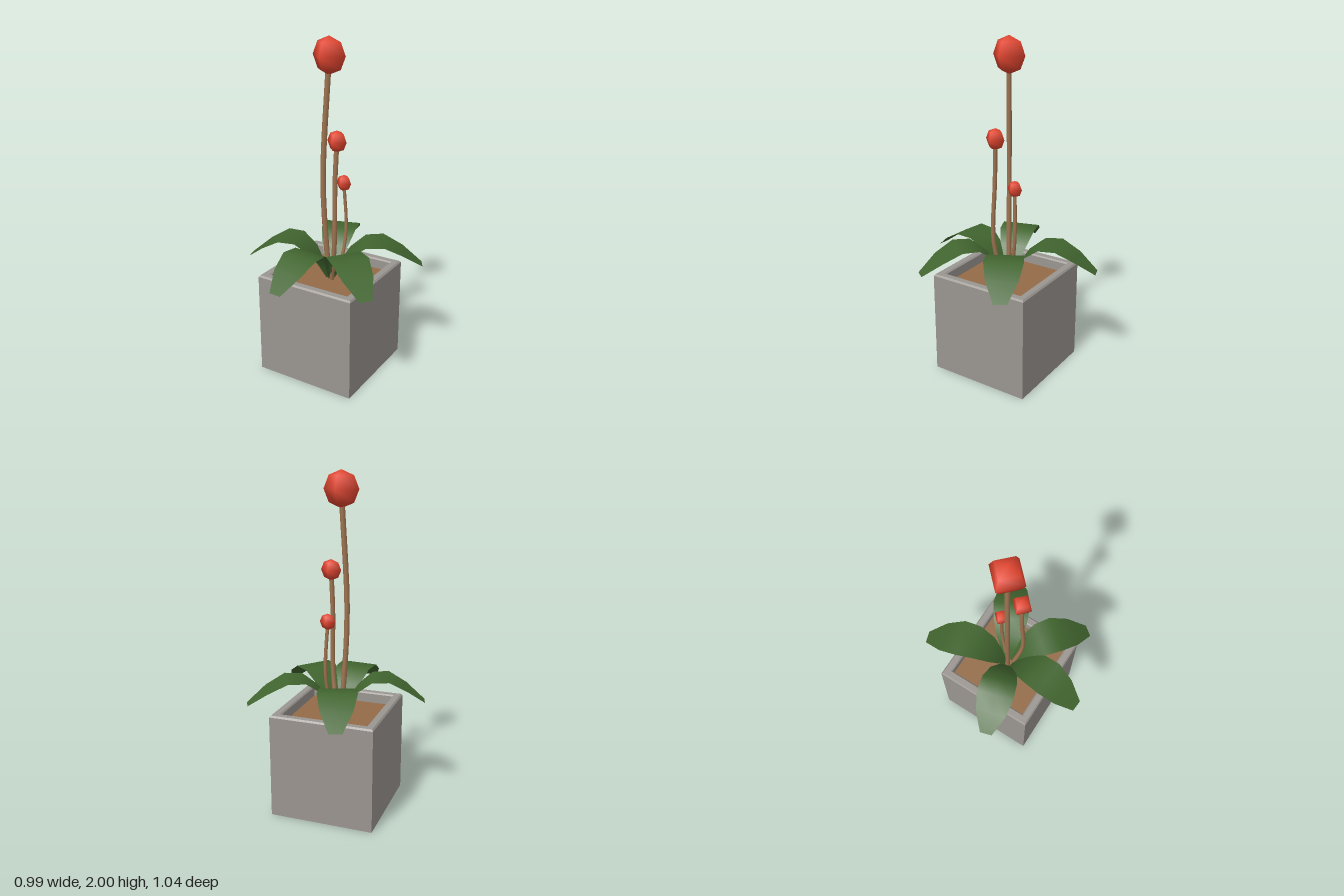
import * as THREE from 'three';

const mat = (name, color, side = THREE.FrontSide) => {
  const m = new THREE.MeshStandardMaterial({ color, side });
  m.name = name;
  return m;
};

// Arching leaf cross-sections: [distance from centre, height, half width]
const LEAF = [
  [0.02, 0.57, 0.02], [0.055, 0.65, 0.05], [0.11, 0.735, 0.083], [0.2, 0.805, 0.107],
  [0.3, 0.81, 0.114], [0.41, 0.75, 0.092], [0.52, 0.665, 0.037],
];

// Leaf running along +z, three points across each section
function leafGeometry() {
  const pos = [], idx = [];
  LEAF.forEach(([r, y, w], i) => {
    for (const s of [-1, 0, 1]) pos.push(s * w, y, r);
    if (!i) return;
    for (let k = 0; k < 2; k++) {
      const a = (i - 1) * 3 + k, b = i * 3 + k;
      idx.push(a, b, b + 1, a, b + 1, a + 1);
    }
  });
  const g = new THREE.BufferGeometry();
  g.setAttribute('position', new THREE.Float32BufferAttribute(pos, 3));
  g.setIndex(idx);
  g.computeVertexNormals();
  return g;
}

export function createModel() {
  const root = new THREE.Group();
  const concrete = mat('concrete', 0x9a9590);
  const earth = mat('earth', 0x946b47);
  const green = mat('leafGreen', 0x41652f, THREE.DoubleSide);
  const brown = mat('stemBrown', 0xa07552);
  const red = mat('flowerRed', 0xe2452f);

  const add = (name, geometry, material, parent = root) => {
    const mesh = new THREE.Mesh(geometry, material);
    mesh.name = name;
    parent.add(mesh);
    return mesh;
  };

  // Square pot with a bevelled rim: four-sided lathe, crisp faces
  const profile = [[0, 0], [0.3125, 0], [0.3125, 0.62], [0.304, 0.63], [0.268, 0.63], [0.26, 0.622], [0.26, 0.54]]
    .map(([half, y]) => new THREE.Vector2(half * Math.SQRT2, y));
  const potGeo = new THREE.LatheGeometry(profile, 4, Math.PI / 4).toNonIndexed();
  potGeo.computeVertexNormals();
  add('pot', potGeo, concrete).position.set(0.007, 0, 0.003);

  // Soil surface
  const soil = add('soil', new THREE.PlaneGeometry(0.52, 0.52), earth);
  soil.rotation.x = -Math.PI / 2;
  soil.position.set(0.007, 0.565, 0.003);

  // Rosette of five leaves: tip [x, z]
  const leaves = new THREE.Group();
  leaves.name = 'leaves';
  root.add(leaves);
  const leafGeo = leafGeometry();
  for (const [x, z] of [[-0.04, 0.52], [0.425, 0.33], [0.48, -0.265], [-0.16, -0.51], [-0.485, 0.145]]) {
    const leaf = add('leaf', leafGeo, green, leaves);
    leaf.rotation.y = Math.atan2(x, z);
    leaf.scale.z = Math.hypot(x, z) / 0.52;
  }

  // Stems, each ending in a faceted flower head
  const stems = [
    { r: 0.105, thick: 0.016, path: [[-0.01, 0.56, 0], [-0.025, 0.8, 0.01], [-0.04, 1.2, 0.018], [-0.01, 1.895, 0]] },
    { r: 0.062, thick: 0.014, path: [[0.02, 0.56, 0.02], [0.062, 0.8, 0.06], [0.06, 1.2, 0.05], [0.067, 1.435, 0.042]] },
    { r: 0.048, thick: 0.011, path: [[0.03, 0.56, -0.035], [0.057, 0.84, -0.083], [0.045, 1.155, -0.075]] },
  ];
  for (const { r, thick, path } of stems) {
    const flower = new THREE.Group();
    flower.name = 'flowerStalk';
    root.add(flower);
    const points = path.map((p) => new THREE.Vector3(...p));
    const curve = new THREE.CatmullRomCurve3(points, false, 'centripetal');
    add('stem', new THREE.TubeGeometry(curve, 10, thick, 6), brown, flower);
    add('flowerHead', new THREE.SphereGeometry(r, 4, 4), red, flower).position.copy(points.at(-1));
  }
  return root;
}
